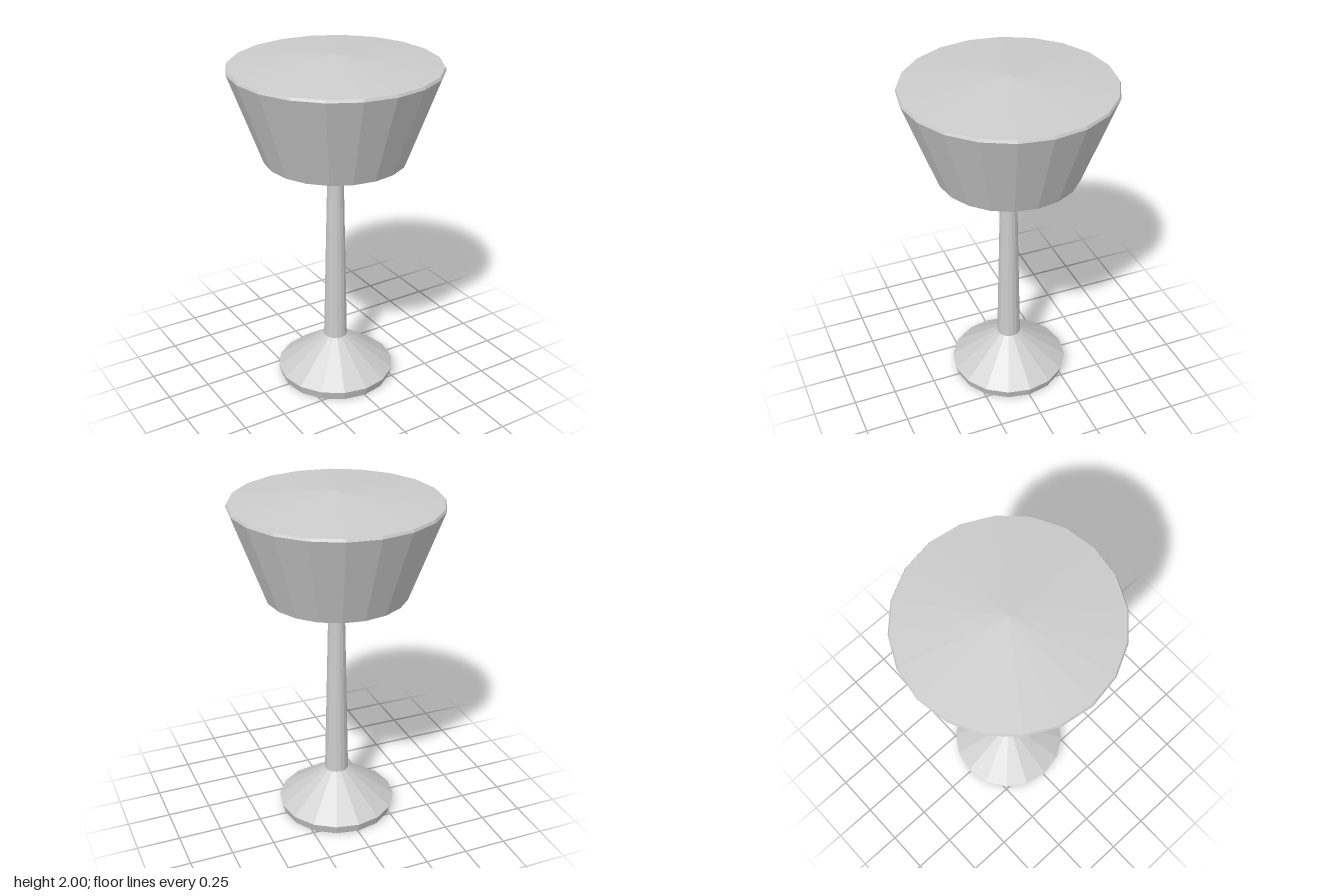
import * as THREE from 'three';

const gray = new THREE.MeshStandardMaterial({ color: 0xcccccc, flatShading: true });
gray.name = 'plain gray';

// Faceted solid of revolution from [radius, height] pairs, bottom to top
function turned(name, profile, sides) {
  const points = profile.map(([r, y]) => new THREE.Vector2(r, y));
  const mesh = new THREE.Mesh(new THREE.LatheGeometry(points, sides), gray);
  mesh.name = name;
  return mesh;
}

export function createModel() {
  const group = new THREE.Group();
  group.name = 'pedestalLamp';

  // Foot: short flared rim, then a cone rising to the stem
  group.add(turned('foot', [[0, 0], [0.333, 0], [0.35, 0.055], [0.07, 0.26], [0, 0.26]], 16));

  // Slender tapered stem
  group.add(turned('stem', [[0.07, 0.26], [0.045, 1.41]], 16));

  // Wide head: flared sides, narrow bevelled rim and shallow conical top
  group.add(turned('head', [[0, 1.41], [0.405, 1.41], [0.595, 1.93], [0.588, 1.945], [0, 2]], 20));

  return group;
}
